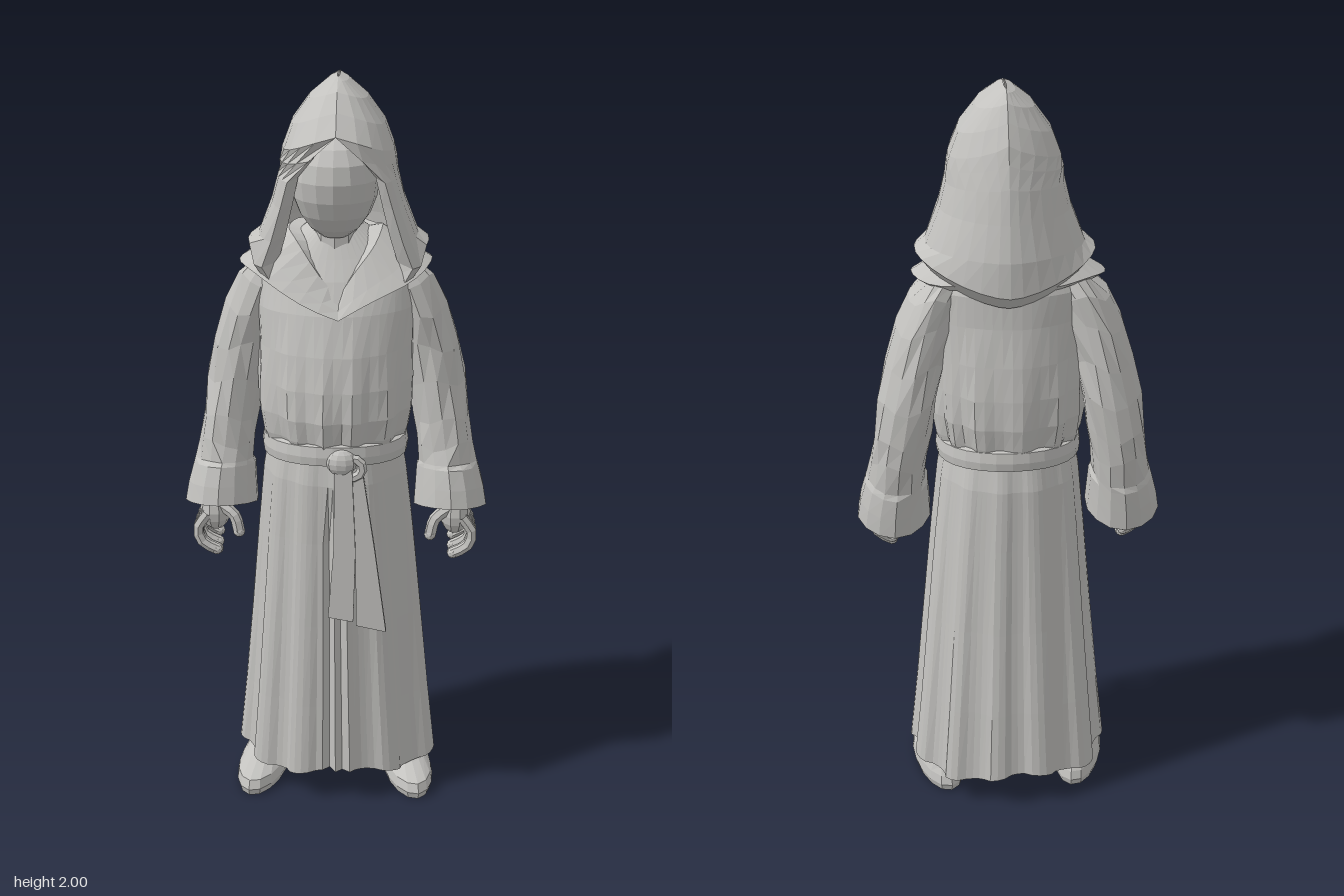
import * as THREE from 'three';

const TAU = Math.PI * 2;
const stone = new THREE.MeshStandardMaterial({ color: 0xc3c2bf, flatShading: true, side: THREE.DoubleSide });
stone.name = 'pale grey';

// Grid of points f(row, col) joined into a faceted surface
function sheet(name, rows, cols, closed, f) {
  const pos = [], index = [];
  for (let i = 0; i < rows; i++) for (let j = 0; j < cols; j++) pos.push(...f(i, j));
  const span = closed ? cols : cols - 1;
  for (let i = 0; i < rows - 1; i++) for (let j = 0; j < span; j++) {
    const k = (j + 1) % cols;
    const a = i * cols + j, b = i * cols + k, c = b + cols, d = a + cols;
    index.push(a, b, c, a, c, d);
  }
  const g = new THREE.BufferGeometry();
  g.setAttribute('position', new THREE.Float32BufferAttribute(pos, 3));
  g.setIndex(index);
  g.computeVertexNormals();
  return part(name, g);
}

function part(name, geometry) {
  const m = new THREE.Mesh(geometry, stone);
  m.name = name;
  return m;
}

// Horizontal oval rows [y, cx, cz, rx, rz], bottom to top, angle 0 facing forward
function loft(name, rows, n, fold = () => 1, lift = () => 0) {
  return sheet(name, rows.length, n, true, (i, j) => {
    const [y, cx, cz, rx, rz] = rows[i], a = j / n * TAU, s = fold(a, y, i);
    return [cx + Math.sin(a) * rx * s, y + lift(a, i), cz + Math.cos(a) * rz * s];
  });
}

function tube(name, points, r) {
  const curve = new THREE.CatmullRomCurve3(points.map(p => new THREE.Vector3(...p)));
  const g = new THREE.Group();
  g.name = name;
  const tip = part(name + 'Tip', new THREE.IcosahedronGeometry(r, 1));
  tip.position.set(...points[points.length - 1]);
  g.add(part(name + 'Shaft', new THREE.TubeGeometry(curve, 6, r, 6)), tip);
  return g;
}

function ball(name, [x, y, z], [rx, ry, rz]) {
  const m = part(name, new THREE.SphereGeometry(1, 10, 8));
  m.position.set(x, y, z);
  m.scale.set(rx, ry, rz);
  return m;
}

// Sleeve, hand, foot and leg of the left side
function limb() {
  const g = new THREE.Group();
  const sleeve = [
    [0.92, .31, 0, .045, .05], [0.845, .308, -.004, .085, .1], [0.848, .31, -.004, .099, .112],
    [0.9, .307, -.012, .093, .11], [0.955, .301, -.022, .084, .106], [0.968, .299, -.026, .078, .1],
    [1.03, .292, -.038, .076, .103], [1.1, .282, -.048, .077, .102], [1.2, .266, -.055, .077, .099],
    [1.3, .246, -.048, .076, .094], [1.4, .218, -.04, .074, .093], [1.48, .19, -.034, .064, .088],
    [1.535, .155, -.03, .045, .064], [1.56, .12, -.025, .015, .03]];
  g.add(loft('sleeve', sleeve, 14,
    (a, y, i) => 1 + (i > 4 ? .04 * Math.sin(a * 3 + y * 23) + .025 * Math.sin(a * 5 - y * 31) : .02 * Math.sin(a * 4 + 1)),
    (a, i) => i < 6 ? .034 * Math.cos(a) * (1 - i * .1) : .014 * Math.sin(a * 3 + i)));

  const hand = new THREE.Group();
  hand.name = 'hand';
  hand.add(ball('palm', [.322, .845, .05], [.042, .06, .05]));
  for (let k = 0; k < 4; k++) {
    const z = .008 + k * .026, d = [.03, .01, 0, .01][k];
    hand.add(tube('finger', [[.34, .845, z], [.368, .8, z], [.356, .75 + d, z], [.318, .727 + d, z - .002]], .0148));
  }
  hand.add(tube('thumb', [[.305, .865, .075], [.268, .84, .088], [.256, .795, .092]], .016));
  g.add(hand);

  // Sole is flat, the toe is lower than the ankle
  const foot = loft('foot', [[0, 0, .01, .001, .001], [0, 0, .01, .066, .146], [.02, 0, .01, .072, .152],
    [.045, 0, .008, .068, .143], [.07, 0, -.02, .056, .1], [.1, 0, -.045, .045, .06]], 16,
    a => 1 + .05 * Math.cos(2 * a + .4));
  foot.position.x = .203;
  foot.rotation.y = .22;
  const leg = part('leg', new THREE.CylinderGeometry(.05, .045, .26, 10));
  leg.position.set(.168, .2, -.04);
  leg.rotation.z = .17;
  g.add(foot, leg);
  return g;
}

export function createModel() {
  const model = new THREE.Group();

  // Pleated open skirt
  const skirt = [[.09, .006, -.022, .27, .202], [.3, .005, -.016, .25, .196], [.55, .004, -.006, .228, .188],
    [.8, .002, .003, .206, .182], [.97, 0, .01, .189, .18], [1.04, 0, .014, .177, .17]];
  model.add(loft('skirt', skirt, 88, (a, y) => {
    const wave = Math.sin(a * 11 + 1.2 * Math.sin(a * 2 + .5));
    const pleat = Math.sign(wave) * Math.pow(Math.abs(wave), .5);
    const slit = Math.exp(-Math.pow((Math.sin(a / 2) - .03) / .02, 2));
    return 1 + (.014 + .036 * (1.05 - y)) * pleat + .01 * Math.sin(a * 5 + 1) - (y < .95 ? .1 * slit : 0);
  }, (a, i) => i < 1 ? .012 * Math.sin(a * 4 + 1) : 0));

  // Bloused bodice gathered above the belt
  const bodice = [[1.04, 0, .014, .172, .165], [1.09, 0, .016, .19, .18], [1.15, 0, .016, .2, .19],
    [1.23, 0, .014, .202, .187], [1.32, 0, .01, .2, .175], [1.42, 0, .002, .205, .153],
    [1.5, 0, -.014, .205, .132], [1.55, 0, -.022, .165, .11], [1.62, 0, -.02, .07, .07]];
  model.add(loft('bodice', bodice, 52, (a, y) => {
    const g = Math.max(0, 1.42 - y) / .35;
    return 1 + .045 * g * Math.sin(a * 13 + Math.sin(a * 3) + y * 3) + .01 * Math.sin(a * 6 + y * 14);
  }));

  // Belt, knot and hanging sash ends
  model.add(loft('belt', [[1.022, 0, .016, .176, .17], [1.027, 0, .016, .191, .187], [1.05, 0, .016, .194, .19],
    [1.078, 0, .016, .19, .186], [1.083, 0, .016, .175, .17]], 28, undefined, a => .008 * Math.cos(a * 2)));
  model.add(ball('knot', [.022, 1.045, .2], [.04, .036, .024]));
  const loop = part('knotLoop', new THREE.TorusGeometry(.026, .013, 6, 10));
  loop.position.set(.05, 1.03, .2);
  loop.rotation.z = .5;
  model.add(loop);
  const tails = [[[.005, 1.03], [.05, 1.03], [.06, .8], [.055, .6], [-.012, .612], [.002, .8]],
    [[.03, 1.03], [.075, 1.03], [.11, .8], [.142, .565], [.062, .582], [.06, .8]]];
  tails.forEach((p, k) => {
    const shape = new THREE.Shape(p.map(q => new THREE.Vector2(...q)));
    const tail = part('sashEnd', new THREE.ExtrudeGeometry(shape, { depth: .022, bevelEnabled: false }));
    tail.position.set(0, 0, .192 - k * .014);
    // Lean the lower end slightly forward
    const pos = tail.geometry.attributes.position;
    for (let i = 0; i < pos.count; i++) pos.setZ(i, pos.getZ(i) + (1.03 - pos.getY(i)) * .04);
    model.add(tail);
  });

  // Collar laid over the shoulders, falling to a sharp point in front: [y, rx, front z, back z, dip]
  const collar = [[1.515, .225, .155, .13, .1], [1.53, .248, .168, .145, .115], [1.56, .2, .152, .13, .125],
    [1.615, .12, .125, .09, .15], [1.61, .09, .1, .07, .165], [1.57, .04, .06, .03, .14]];
  model.add(sheet('collar', collar.length, 32, true, (i, j) => {
    const [y, rx, zf, zb, dip] = collar[i], a = j / 32 * TAU, c = Math.cos(a);
    const front = c > 0 ? 1 - Math.abs(Math.sin(a)) : 0;
    return [Math.sin(a) * rx + .012 * front, y - dip * front + .005 * Math.sin(a * 5), c * (c > 0 ? zf : zb) - .008 + .01 * front];
  }));
  const neck = part('neck', new THREE.CylinderGeometry(.055, .065, .2, 10));
  neck.position.set(0, 1.57, .015);
  model.add(neck);

  // Blank egg-shaped face with a narrow chin
  model.add(loft('face', Array.from({ length: 10 }, (_, i) => {
    const t = i / 9 * Math.PI, r = Math.sin(t) * (1 - .14 * Math.cos(t));
    return [1.733 - .137 * Math.cos(t), 0, .055 - .01 * Math.cos(t), .11 * r + .0005, .115 * r + .0005];
  }), 16));

  // Hood rows: [y, half opening, half width, rim z, back z, side drape]; broad front, narrow back
  const hood = [[1.54, .13, .145, .07, -.09, 0], [1.5, .17, .2, .11, -.155, 0], [1.54, .188, .23, .13, -.2, 0],
    [1.61, .163, .202, .148, -.198, 0], [1.7, .137, .167, .172, -.18, 0], [1.785, .118, .15, .192, -.164, .02],
    [1.84, .065, .146, .213, -.15, .04], [1.885, 0, .14, .22, -.138, .055], [1.935, 0, .117, .175, -.112, .045],
    [1.975, 0, .073, .13, -.088, .025], [1.995, 0, .025, .08, -.062, .005], [2, 0, .003, .05, -.045, 0]];
  const n = 23;
  model.add(sheet('hood', hood.length, n + 2, false, (i, j) => {
    const [y, open, w, zf, zb, drape] = hood[i];
    const inner = j === 0 || j === n + 1;
    const k = Math.min(n - 1, Math.max(0, j - 1));
    const a0 = Math.asin(Math.pow(open / w, 1.25)), a = a0 + k / (n - 1) * (TAU - 2 * a0);
    const s = Math.sin(a), c = Math.cos(a);
    const x = Math.sign(s) * Math.pow(Math.abs(s), c > 0 ? .8 : 1.25) * w;
    const z = c > 0 ? zf * Math.pow(c / Math.cos(a0), .7) : -c * zb;
    // The lower edge rises over the shoulders and drops behind
    const sag = i < 3 && c < .3 ? .05 * s * s - (c < 0 ? .02 * c * c : 0) : 0;
    return [.008 + (inner ? x * .8 : x), y + sag - drape * Math.abs(s), inner ? z - .06 : z];
  }));

  // Mirrored limbs
  const left = limb(), right = limb();
  left.name = 'leftLimbs';
  right.name = 'rightLimbs';
  right.scale.x = -1;
  model.add(left, right);
  return model;
}
